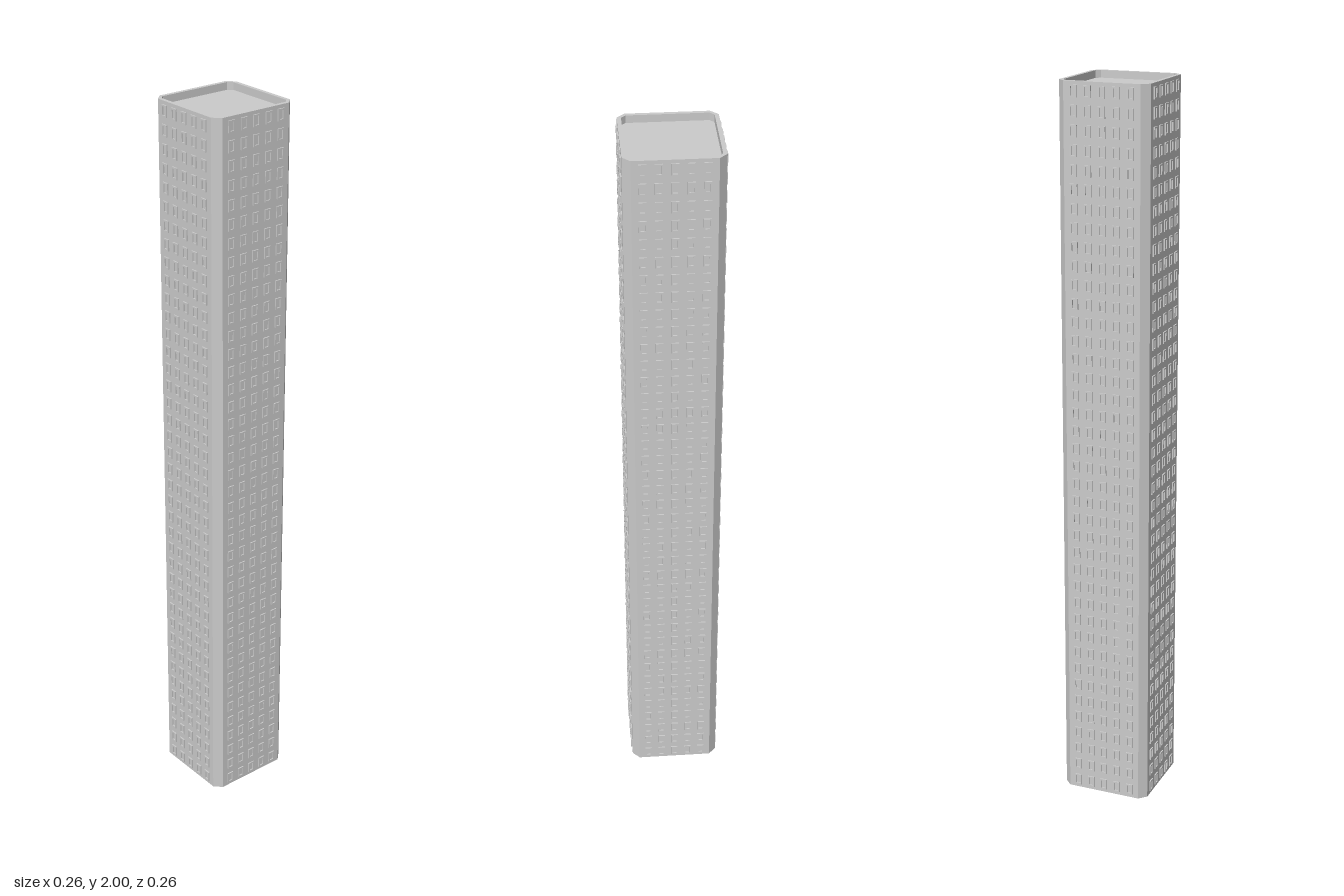
import * as THREE from 'three';
import { mergeGeometries } from 'three/addons/utils/BufferGeometryUtils.js';

const HEIGHT = 2, HALF = 0.125, CHAMFER = 0.02;
const RIM = 0.0105, ROOF_DROP = 0.02;
const ROWS = 40, COLUMNS = 5, FLOOR = HEIGHT / ROWS, PITCH = 0.039;
const WIN_W = 0.0196, WIN_H = 0.031, FRAME = 0.004, RELIEF = 0.0035;

// Square plan with chamfered corners, counter-clockwise in (x, -z)
function planPoints(half, chamfer) {
  const a = half, b = half - chamfer;
  return [[b, -a], [a, -b], [a, b], [b, a], [-b, a], [-a, b], [-a, -b], [-b, -a]]
    .map(([x, y]) => new THREE.Vector2(x, y));
}

// Open vertical band following a plan
function band(points, y0, y1) {
  const pos = [];
  points.forEach((p, i) => {
    const q = points[(i + 1) % points.length];
    const a = [p.x, y0, -p.y], b = [q.x, y0, -q.y];
    const c = [q.x, y1, -q.y], d = [p.x, y1, -p.y];
    pos.push(...a, ...b, ...c, ...a, ...c, ...d);
  });
  const geo = new THREE.BufferGeometry();
  geo.setAttribute('position', new THREE.Float32BufferAttribute(pos, 3));
  geo.computeVertexNormals();
  return geo;
}

// Flat horizontal face at a height
function slab(shape, y) {
  return new THREE.ShapeGeometry(shape).rotateX(-Math.PI / 2).translate(0, y, 0);
}

// Rectangular window surround, passing slightly through the wall sheet
function windowFrame() {
  const w = WIN_W / 2, h = WIN_H / 2, f = FRAME;
  const rect = (x, y) => [[-x, -y], [x, -y], [x, y], [-x, y]].map(p => new THREE.Vector2(...p));
  const shape = new THREE.Shape(rect(w, h));
  shape.holes.push(new THREE.Path(rect(w - f, h - f).reverse()));
  return new THREE.ExtrudeGeometry(shape, { depth: RELIEF * 2, bevelEnabled: false })
    .translate(0, 0, HALF - RELIEF);
}

export function createModel() {
  const group = new THREE.Group();
  const material = new THREE.MeshStandardMaterial({
    color: 0xcccccc, flatShading: true, side: THREE.DoubleSide,
  });
  const add = (name, geometry, parent = group) => {
    const mesh = new THREE.Mesh(geometry, material);
    mesh.name = name;
    parent.add(mesh);
    return mesh;
  };

  // Tower shell, open underneath
  const outer = planPoints(HALF, CHAMFER);
  const inner = planPoints(HALF - RIM, CHAMFER - RIM * 0.8);
  add('walls', band(outer, 0, HEIGHT));

  // Parapet rim and sunken roof
  const rim = new THREE.Shape(outer);
  rim.holes.push(new THREE.Path(inner.slice().reverse()));
  add('parapetTop', slab(rim, HEIGHT));
  add('parapetInside', band(inner.slice().reverse(), HEIGHT - ROOF_DROP, HEIGHT));
  add('roof', slab(new THREE.Shape(inner), HEIGHT - ROOF_DROP));

  // One facade of windows, repeated on all four sides
  const frame = windowFrame();
  const frames = [];
  for (let row = 0; row < ROWS; row++) {
    for (let col = 0; col < COLUMNS; col++) {
      const x = (col - (COLUMNS - 1) / 2) * PITCH;
      frames.push(frame.clone().translate(x, (row + 0.5) * FLOOR, 0));
    }
  }
  const facade = mergeGeometries(frames);
  ['front', 'left', 'back', 'right'].forEach((side, i) => {
    add(side + 'WindowFrames', facade).rotation.y = i * Math.PI / 2;
  });

  return group;
}
